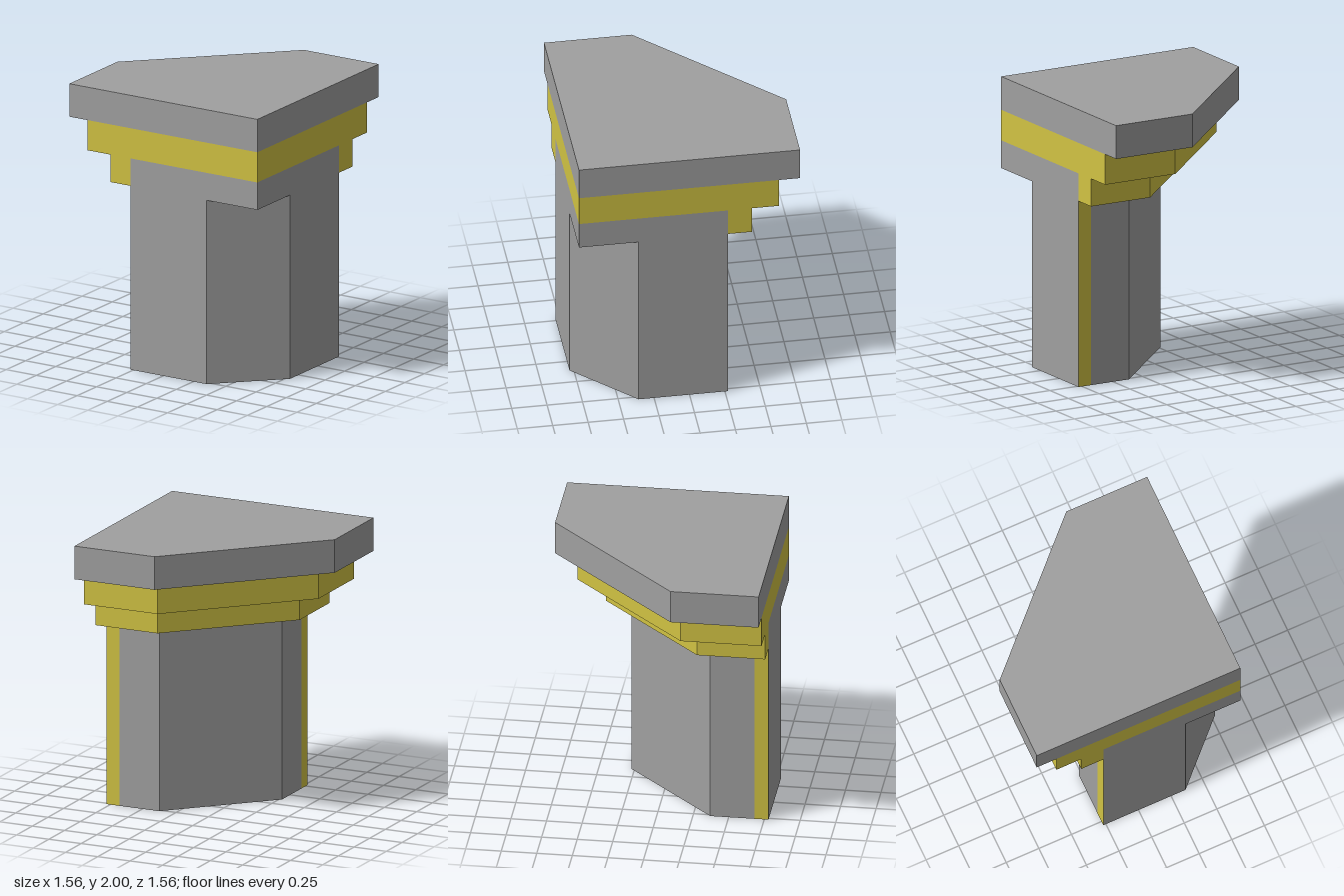
import * as THREE from 'three';

const stone = new THREE.MeshStandardMaterial({ color: 0xa0a0a0 });
stone.name = 'grey stone';
const paint = new THREE.MeshStandardMaterial({ color: 0xd1c343 });
paint.name = 'yellow paint';

// Upright prism from an [x, z] outline, clockwise seen from above.
// Caps are stone; the edges listed in painted (by start corner) are yellow.
function prism(name, outline, y0, y1, painted = []) {
  const positions = [];
  const geometry = new THREE.BufferGeometry();
  const put = ([x, z], y) => positions.push(x, y, z);

  // Caps
  const contour = outline.map(([x, z]) => new THREE.Vector2(x, z));
  for (const face of THREE.ShapeUtils.triangulateShape(contour, [])) {
    let [a, b, c] = face.map((i) => outline[i]);
    const up = (b[1] - a[1]) * (c[0] - a[0]) - (b[0] - a[0]) * (c[1] - a[1]);
    if (up < 0) [b, c] = [c, b];
    [a, b, c].forEach((p) => put(p, y1));
    [a, c, b].forEach((p) => put(p, y0));
  }
  geometry.addGroup(0, positions.length / 3, 0);

  // Sides, one material group per edge
  outline.forEach((a, i) => {
    const b = outline[(i + 1) % outline.length];
    geometry.addGroup(positions.length / 3, 6, painted.includes(i) ? 1 : 0);
    put(b, y0); put(a, y0); put(a, y1);
    put(b, y0); put(a, y1); put(b, y1);
  });

  geometry.setAttribute('position', new THREE.Float32BufferAttribute(positions, 3));
  geometry.computeVertexNormals();
  const mesh = new THREE.Mesh(geometry, [stone, paint]);
  mesh.name = name;
  return mesh;
}

// Square corner block with its back right corner cut off:
// e is the outer face position, c where the diagonal cut begins
const F = 0.78;
const cutSquare = (e, c) => [[-e, F], [-e, c], [c, -e], [F, -e], [F, F]];

export function createModel() {
  const model = new THREE.Group();
  model.name = 'cornerPillar';

  // Top slab and the wide painted step under it
  model.add(prism('topSlab', cutSquare(F, 0.16), 1.76, 2));
  model.add(prism('upperStep', cutSquare(0.63, 0.21), 1.54, 1.76, [0, 1, 2, 3, 4]));

  // Narrow painted step, wrapped round the core on three sides
  model.add(prism('lowerStep', [
    [-0.44, F], [-0.44, 0.3], [0.3, -0.44], [F, -0.44],
    [F, -0.27], [0.37, -0.27], [-0.27, 0.37], [-0.27, F],
  ], 1.34, 1.54, [0, 1, 2, 3, 7]));
  model.add(prism('core', cutSquare(0.27, 0.37), 1.34, 1.54));

  // Column shaft: front left corner cut away, painted strip at each wall end
  model.add(prism('columnShaft', [
    [-0.27, F], [-0.27, 0.68], [-0.27, 0.37], [0.37, -0.27],
    [0.68, -0.27], [F, -0.27], [F, 0.36], [0.36, F],
  ], 0, 1.34, [0, 4]));

  return model;
}
